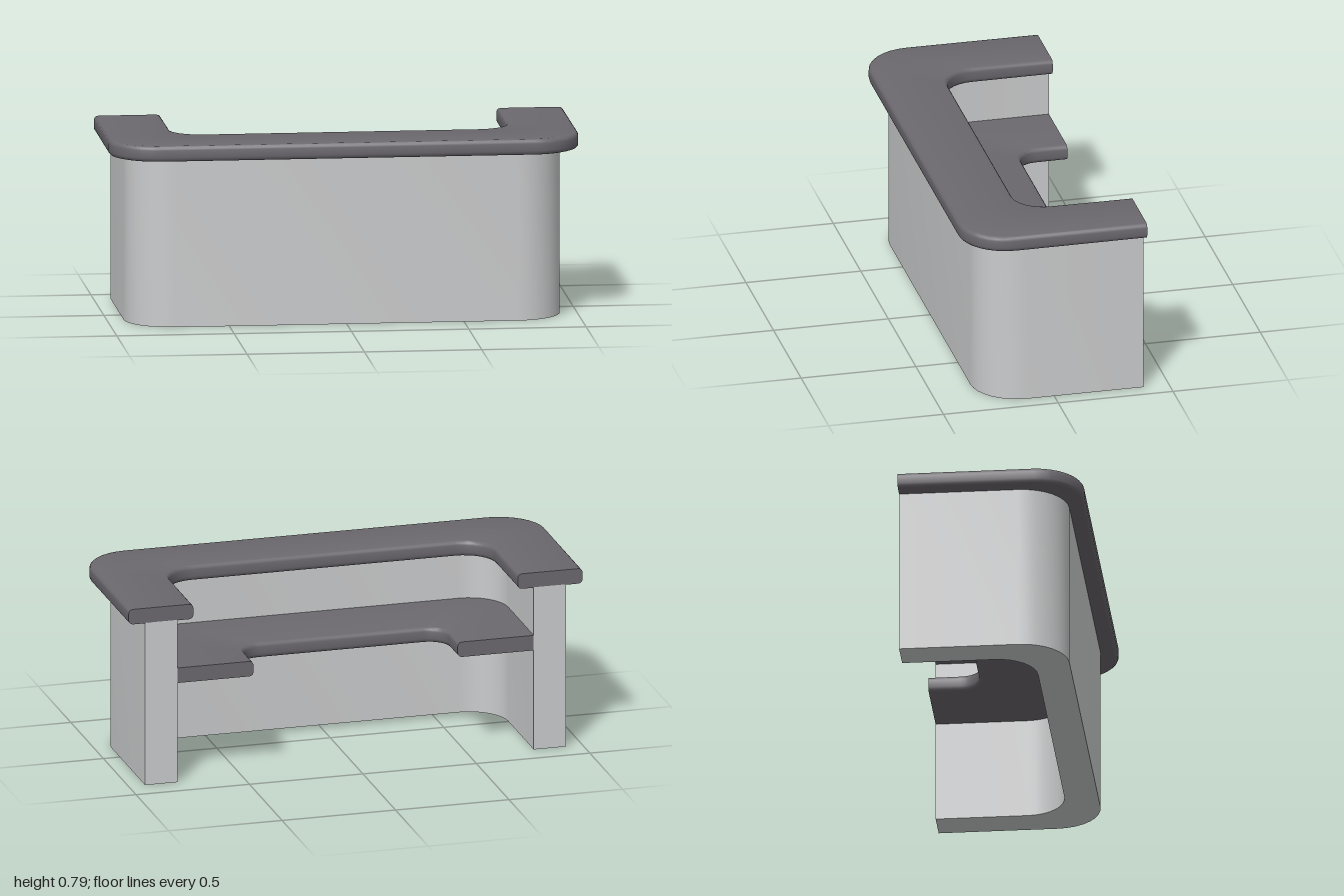
import * as THREE from 'three';
import { toCreasedNormals } from 'three/addons/utils/BufferGeometryUtils.js';

const BACK = -0.388;
const STEPS = 8;

// U-shaped outline with rounded front corners, from back left to back right
function outline(halfWidth, front, radius) {
  const half = [[halfWidth, BACK]];
  for (let i = 0; i <= STEPS; i++) {
    const a = (i / STEPS) * Math.PI / 2;
    half.push([
      halfWidth - radius + radius * Math.cos(a),
      front - radius + radius * Math.sin(a),
    ]);
  }
  return half.concat(half.slice().reverse().map(([x, z]) => [-x, z]));
}

// Cross-section corners: side 0 = inner edge, 1 = outer edge, with an inset and a height
function section(y0, y1, innerRound, outerRound) {
  const pts = [];
  const corner = (side, y, r, dirY, start) => {
    if (r === 0) return pts.push({ side, inset: 0, y });
    for (let i = 0; i <= 3; i++) {
      const a = start + (i / 3) * Math.PI / 2;
      pts.push({ side, inset: r - r * Math.abs(Math.cos(a)), y: y - dirY * r + r * Math.sin(a) });
    }
  };
  corner(1, y0, outerRound, -1, -Math.PI / 2);
  corner(1, y1, outerRound, 1, 0);
  corner(0, y1, innerRound, 1, Math.PI / 2);
  corner(0, y0, innerRound, -1, Math.PI);
  return pts;
}

// Sweep a section between an inner and an outer outline, with flat ends
function sweepU(inner, outer, profile) {
  const pos = [];
  const idx = [];
  const m = profile.length;
  inner.forEach((a, i) => {
    const b = outer[i];
    const len = Math.hypot(b[0] - a[0], b[1] - a[1]);
    for (const p of profile) {
      const t = p.side ? 1 - p.inset / len : p.inset / len;
      pos.push(a[0] + (b[0] - a[0]) * t, p.y, a[1] + (b[1] - a[1]) * t);
    }
  });
  const n = inner.length;
  for (let i = 0; i < n - 1; i++) {
    for (let j = 0; j < m; j++) {
      const k = (j + 1) % m;
      const a = i * m + j, b = i * m + k, c = b + m, d = a + m;
      idx.push(a, b, c, a, c, d);
    }
  }
  const last = (n - 1) * m;
  for (let j = 1; j < m - 1; j++) {
    idx.push(0, j + 1, j);
    idx.push(last, last + j, last + j + 1);
  }
  const geo = new THREE.BufferGeometry();
  geo.setAttribute('position', new THREE.Float32BufferAttribute(pos, 3));
  geo.setIndex(idx);
  return toCreasedNormals(geo, 0.6);
}

export function createModel() {
  const group = new THREE.Group();
  group.name = 'receptionDesk';

  const panel = new THREE.MeshStandardMaterial({ color: 0xcacbcc });
  panel.name = 'light grey panel';
  const top = new THREE.MeshStandardMaterial({ color: 0x6b686e });
  top.name = 'dark grey top';

  const add = (name, geo, material) => {
    const mesh = new THREE.Mesh(geo, material);
    mesh.name = name;
    group.add(mesh);
  };

  const wallInner = outline(0.785, 0.175, 0.17);

  // Thick curved wall standing on the floor
  add('curvedWall', sweepU(wallInner, outline(0.928, 0.318, 0.2), section(0, 0.725, 0, 0)), panel);

  // Raised counter overhanging both sides of the wall
  add('raisedCounter',
    sweepU(outline(0.715, 0.1, 0.14), outline(1, 0.388, 0.2), section(0.723, 0.79, 0.018, 0.018)), top);

  // Lower work surface fitted inside the wall
  add('workSurface',
    sweepU(outline(0.45, -0.165, 0.09), wallInner, section(0.443, 0.51, 0.018, 0)), top);

  return group;
}
